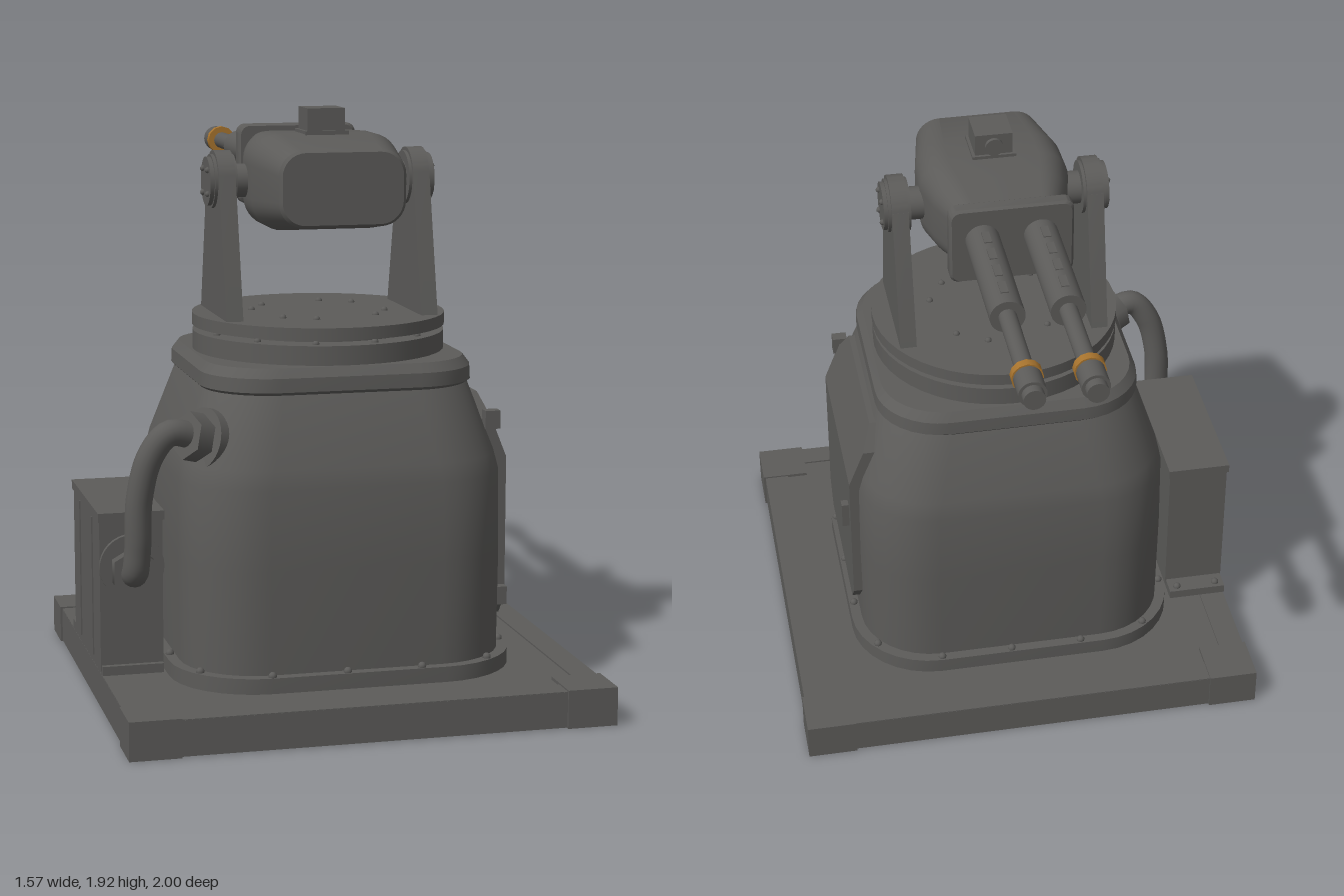
import * as THREE from 'three';
import { toCreasedNormals } from 'three/addons/utils/BufferGeometryUtils.js';

const Z = 0.215; // turret axis
const steel = new THREE.MeshStandardMaterial({ color: 0x5c5b59 });
steel.name = 'gunmetal';
const brass = new THREE.MeshStandardMaterial({ color: 0xa8742e });
brass.name = 'brass';

export function createModel() {
  const model = new THREE.Group();
  model.name = 'gunTurret';

  function add(name, geo, x = 0, y = 0, z = 0, mat = steel) {
    const m = new THREE.Mesh(geo, mat);
    m.name = name;
    m.position.set(x, y, z);
    model.add(m);
    return m;
  }
  const box = (name, w, h, d, x, y, z) => add(name, new THREE.BoxGeometry(w, h, d), x, y, z);
  // cylinder pointing along a direction, centred on a point
  const up = new THREE.Vector3(0, 1, 0);
  function rod(name, r, len, x, y, z, dir = [0, 1, 0], sides = 32, mat = steel, r2 = r) {
    const m = add(name, new THREE.CylinderGeometry(r2, r, len, sides), x, y, z, mat);
    m.quaternion.setFromUnitVectors(up, new THREE.Vector3(...dir).normalize());
    return m;
  }
  const bolt = (x, y, z, r = 0.014) => add('bolt', new THREE.SphereGeometry(r, 8, 6), x, y, z);

  // rounded rectangle outline, counter-clockwise
  function outline(hx, hy, r, n = 8) {
    const pts = [];
    [[1, 1], [-1, 1], [-1, -1], [1, -1]].forEach(([sx, sy], q) => {
      for (let i = 0; i <= n; i++) {
        const a = (q + i / n) * Math.PI / 2;
        pts.push([sx * (hx - r) + r * Math.cos(a), sy * (hy - r) + r * Math.sin(a)]);
      }
    });
    return pts;
  }
  // loft rounded rectangles along z; section = [t, hx, hy, radius, centreY]
  function loft(sections) {
    const pos = [], idx = [];
    const N = outline(1, 1, 0.5).length;
    for (const [t, hx, hy, r, cy = 0] of sections)
      for (const [x, y] of outline(hx, hy, r)) pos.push(x, y + cy, t);
    const last = (sections.length - 1) * N;
    for (let s = 0; s < last; s += N)
      for (let i = 0; i < N; i++) {
        const j = (i + 1) % N;
        idx.push(s + i, s + j, s + N + j, s + i, s + N + j, s + N + i);
      }
    for (let i = 1; i < N - 1; i++) idx.push(0, i + 1, i, last, last + i, last + i + 1);
    const g = new THREE.BufferGeometry();
    g.setAttribute('position', new THREE.Float32BufferAttribute(pos, 3));
    g.setIndex(idx);
    return toCreasedNormals(g, 0.45);
  }
  const loftUp = (name, rows) =>
    add(name, loft(rows.map(([y, h, r]) => [y, h, h, r])).rotateX(-Math.PI / 2), 0, 0, Z);

  // base: open-bottomed frame with solid corners
  box('basePlate', 1.54, 0.015, 1.54, 0, 0.107, Z);
  for (const s of [-1, 1]) {
    box('sideBeam', 0.02, 0.115, 1.26, s * 0.768, 0.06, Z);
    box('sideLip', 0.085, 0.02, 1.26, s * 0.735, 0.11, Z);
    box('endBeam', 1.26, 0.115, 0.02, 0, 0.06, Z + s * 0.768);
    box('endLip', 1.26, 0.02, 0.085, 0, 0.11, Z + s * 0.735);
    for (const t of [-1, 1]) box('baseCorner', 0.165, 0.125, 0.165, s * 0.7025, 0.0625, Z + t * 0.7025);
  }

  // pedestal
  loftUp('pedestalFlange', [[0.11, 0.565, 0.28], [0.165, 0.565, 0.28]]);
  loftUp('pedestalBody', [[0.16, 0.53, 0.25], [0.5, 0.533, 0.25], [0.76, 0.53, 0.25],
    [0.82, 0.517, 0.25], [1.04, 0.44, 0.22], [1.06, 0.43, 0.22]]);
  loftUp('pedestalCollar', [[1.04, 0.432, 0.22], [1.055, 0.448, 0.22], [1.1, 0.446, 0.22], [1.13, 0.425, 0.21]]);
  const rim = new THREE.Path(outline(0.548, 0.548, 0.265).map(p => new THREE.Vector2(...p)));
  rim.closePath();
  for (const p of rim.getSpacedPoints(16).slice(0, 16)) bolt(p.x, 0.168, Z + p.y);

  // turntable
  rod('turntableRing', 0.416, 0.065, 0, 1.16, Z, [0, 1, 0], 48);
  rod('turntableNeck', 0.33, 0.04, 0, 1.2, Z, [0, 1, 0], 48);
  rod('turntable', 0.418, 0.04, 0, 1.23, Z, [0, 1, 0], 48);
  for (let i = 0; i < 12; i++) {
    const a = (i + 0.5) * Math.PI / 6;
    bolt(0.375 * Math.cos(a), 1.193, Z + 0.375 * Math.sin(a), 0.012);
    if (i % 3 !== 2) bolt(0.22 * Math.cos(a), 1.25, Z + 0.22 * Math.sin(a), 0.012);
  }

  // yoke arms with trunnions
  const arm = new THREE.Shape();
  arm.moveTo(-0.207, 1.245);
  arm.lineTo(0.207, 1.245);
  arm.lineTo(0.098, 1.71);
  arm.absarc(0, 1.685, 0.1, 0.25, Math.PI - 0.25, false);
  arm.closePath();
  const armGeo = toCreasedNormals(new THREE.ExtrudeGeometry(arm, { depth: 0.055, bevelEnabled: false, curveSegments: 16 })
    .rotateY(Math.PI / 2), 0.5);
  for (const s of [-1, 1]) {
    add('yokeArm', armGeo, s * 0.325 - 0.0275, 0, Z);
    rod('armBoss', 0.088, 0.075, s * 0.325, 1.685, Z, [1, 0, 0]);
    rod('trunnionCap', 0.08, 0.02, s * 0.366, 1.685, Z, [1, 0, 0]);
    rod('trunnion', 0.055, 0.1, s * 0.25, 1.685, Z, [1, 0, 0]);
    for (let i = 0; i < 4; i++) {
      const a = (i + 0.5) * Math.PI / 2;
      bolt(s * 0.377, 1.685 + 0.055 * Math.sin(a), Z + 0.055 * Math.cos(a), 0.01);
    }
  }

  // gun housing
  add('gunHousing', loft([[-0.08, 0.17, 0.112, 0.06, 1.71], [0.08, 0.222, 0.142, 0.09, 1.693],
    [0.2, 0.248, 0.154, 0.1, 1.686], [0.32, 0.246, 0.155, 0.1, 1.685],
    [0.54, 0.208, 0.122, 0.08, 1.682], [0.55, 0.198, 0.115, 0.075, 1.682]]));
  add('frontPlate', loft([[-0.125, 0.195, 0.128, 0.03, 1.713], [-0.115, 0.203, 0.134, 0.03, 1.713],
    [-0.08, 0.203, 0.134, 0.03, 1.713], [-0.07, 0.195, 0.128, 0.03, 1.713]]));
  box('sightBox', 0.125, 0.085, 0.125, 0, 1.88, 0.265);
  box('sightBase', 0.145, 0.02, 0.145, 0, 1.84, 0.265);
  rod('sightLens', 0.03, 0.02, 0, 1.88, 0.2, [0, 0, 1], 20);

  // twin barrels
  for (const x of [-0.094, 0.096]) {
    const part = (name, r, z0, z1, mat, sides = 28) =>
      rod(name, r, z0 - z1, x, 1.735, (z0 + z1) / 2, [0, 0, -1], sides, mat);
    part('barrelSleeve', 0.056, -0.1, -0.565);
    part('barrel', 0.029, -0.55, -0.92);
    part('barrelBand', 0.05, -0.86, -0.888, brass, 12);
    part('muzzle', 0.044, -0.888, -0.97);
    part('muzzleTip', 0.034, -0.965, -1.0);
    for (let i = 0; i < 4; i++) box('sleeveRib', 0.025, 0.008, 0.06, x, 1.79, -0.2 - i * 0.095);
  }

  // access door: two chamfered halves, the upper one leaning in with the wall
  function doorHalf(name, pts) {
    const g = new THREE.ExtrudeGeometry(new THREE.Shape(pts.map(p => new THREE.Vector2(...p))),
      { depth: 0.06, bevelEnabled: false }).rotateY(Math.PI / 2);
    const p = g.attributes.position;
    for (let i = 0; i < p.count; i++) p.setX(i, p.getX(i) - Math.max(0, p.getY(i) - 0.79) * 0.4);
    g.computeVertexNormals();
    add(name, g, 0.498, 0, 0.21);
  }
  doorHalf('doorLower', [[-0.26, 0.25], [0.26, 0.25], [0.32, 0.32], [0.32, 0.79], [-0.32, 0.79], [-0.32, 0.32]]);
  doorHalf('doorUpper', [[-0.32, 0.79], [0.32, 0.79], [0.32, 0.92], [0.26, 1.0], [-0.26, 1.0], [-0.32, 0.92]]);
  box('doorHandle', 0.04, 0.09, 0.03, 0.562, 0.625, -0.05);
  box('doorHinge', 0.05, 0.06, 0.04, 0.5, 0.92, 0.545);
  box('doorHinge', 0.05, 0.06, 0.04, 0.53, 0.33, 0.545);

  // power box
  box('powerBox', 0.205, 0.5, 0.53, -0.68, 0.385, 0.205);
  box('powerBoxLid', 0.215, 0.03, 0.55, -0.68, 0.642, 0.205);
  box('powerBoxFoot', 0.2, 0.03, 0.62, -0.68, 0.14, 0.18);
  for (const z of [0.08, 0.33]) box('boxSeam', 0.008, 0.46, 0.012, -0.783, 0.385, z);
  for (const x of [-0.75, -0.61]) bolt(x, 0.157, -0.105);

  // hose and its fittings
  const out = [-0.86, 0.25, 0.42];
  rod('boxSocket', 0.105, 0.02, -0.68, 0.48, 0.478, [0, 0, 1]);
  rod('boxFitting', 0.075, 0.05, -0.68, 0.47, 0.505, [0, 0, 1], 6);
  rod('wallSocket', 0.1, 0.035, -0.455, 0.9, 0.565, out);
  rod('wallFitting', 0.078, 0.06, -0.495, 0.913, 0.58, out, 6);
  const path = new THREE.CatmullRomCurve3([[-0.68, 0.46, 0.5], [-0.68, 0.475, 0.545], [-0.675, 0.56, 0.565],
    [-0.67, 0.72, 0.575], [-0.635, 0.86, 0.588], [-0.575, 0.93, 0.595], [-0.48, 0.91, 0.575]]
    .map(p => new THREE.Vector3(...p)));
  add('hose', new THREE.TubeGeometry(path, 40, 0.043, 16));

  return model;
}
